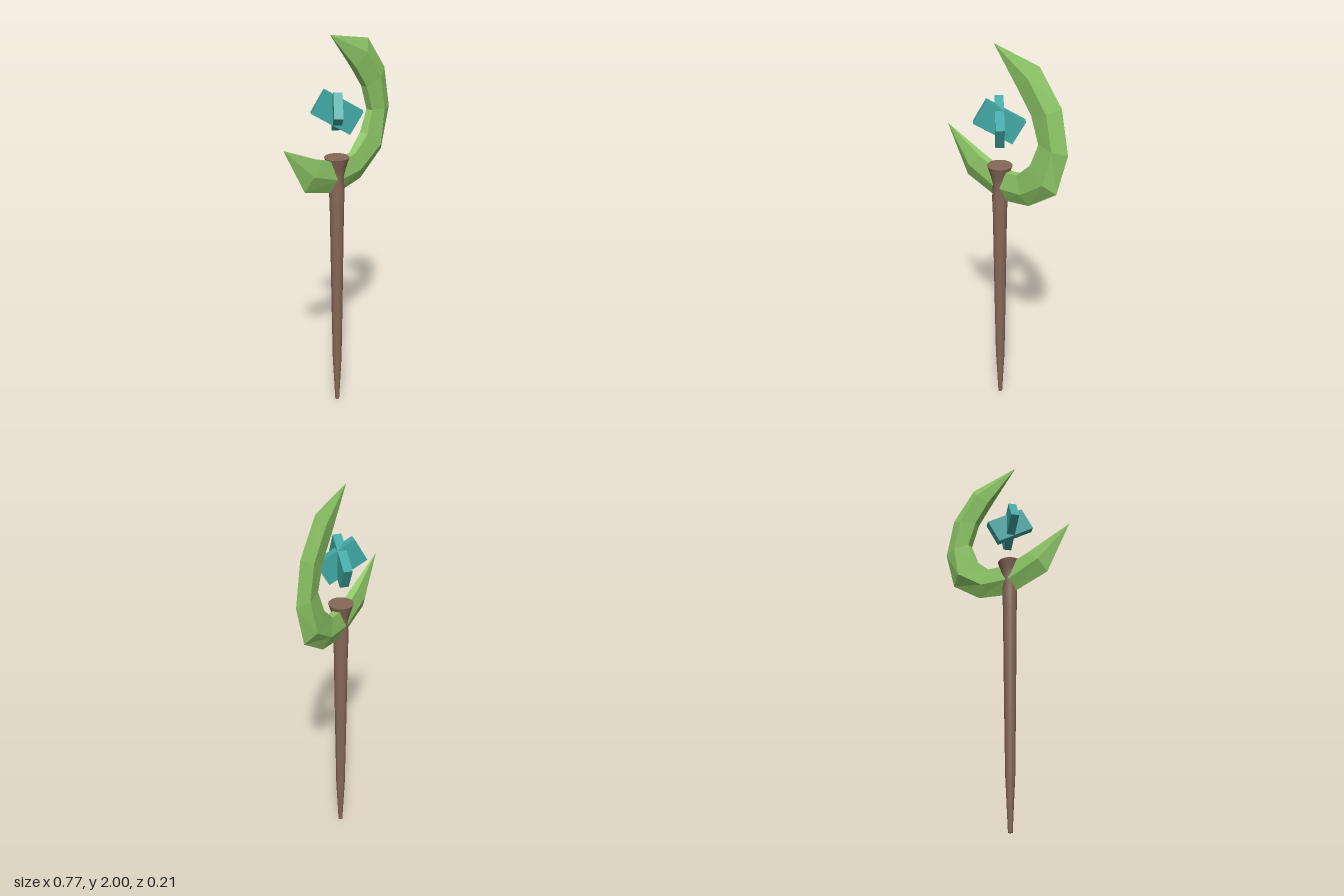
import * as THREE from 'three';

const wood = new THREE.MeshStandardMaterial({ color: 0x866857 });
wood.name = 'brown wood';
const leaf = new THREE.MeshStandardMaterial({ color: 0x90ca68, flatShading: true });
leaf.name = 'light green';
const crystal = new THREE.MeshStandardMaterial({ color: 0x40a8a4, flatShading: true });
crystal.name = 'teal crystal';

const AXIS_X = -0.026;

function add(parent, name, geometry, material) {
  const mesh = new THREE.Mesh(geometry, material);
  mesh.name = name;
  parent.add(mesh);
  return mesh;
}

// Tapered handle flaring into a cup at the top, closed by two discs
function makeStaff() {
  const staff = new THREE.Group();
  staff.name = 'staff';
  const profile = [
    [0.011, 0], [0.024, 0.27], [0.029, 0.6], [0.036, 1.15],
    [0.039, 1.23], [0.034, 1.31], [0.046, 1.36], [0.062, 1.41],
  ].map(([r, y]) => new THREE.Vector2(r, y));
  add(staff, 'handle', new THREE.LatheGeometry(profile, 20), wood);
  const top = add(staff, 'cupTop', new THREE.CircleGeometry(0.062, 20), wood);
  top.rotation.x = -Math.PI / 2;
  top.position.y = 1.41;
  const foot = add(staff, 'foot', new THREE.CircleGeometry(0.011, 20), wood);
  foot.rotation.x = Math.PI / 2;
  staff.position.set(AXIS_X, 0, -0.002);
  return staff;
}

// Crescent: five-sided sections (outer edge, side ridges, flat inner face) between two tips
function makeCrescentGeometry() {
  // outer x, y, ridge x, y, inner x, y, ridge half width
  const stations = [
    [-0.388, 1.53, -0.388, 1.53, -0.388, 1.53, 0],
    [-0.253, 1.29, -0.215, 1.362, -0.15, 1.425, 0.03],
    [-0.025, 1.22, -0.03, 1.295, -0.025, 1.385, 0.03],
    [0.16, 1.25, 0.13, 1.31, 0.095, 1.397, 0.03],
    [0.328, 1.367, 0.275, 1.41, 0.185, 1.48, 0.041],
    [0.387, 1.58, 0.315, 1.587, 0.227, 1.593, 0.03],
    [0.342, 1.79, 0.278, 1.752, 0.182, 1.72, 0.03],
    [0.21, 1.95, 0.17, 1.89, 0.1, 1.826, 0.03],
    [-0.066, 2, -0.066, 2, -0.066, 2, 0],
  ];
  const rings = stations.map(([ox, oy, rx, ry, ix, iy, w]) => [
    [ox, oy, 0], [rx, ry, w], [ix, iy, w * 0.6], [ix, iy, -w * 0.6], [rx, ry, -w],
  ]);
  const last = rings.length - 2;
  const positions = [];
  for (let i = 0; i <= last; i++) {
    for (let j = 0; j < 5; j++) {
      const k = (j + 1) % 5;
      const a = rings[i][j], b = rings[i + 1][j], c = rings[i + 1][k], d = rings[i][k];
      if (i < last) positions.push(...a, ...b, ...c);
      if (i > 0) positions.push(...a, ...c, ...d);
      if (i === last) positions.push();
    }
  }
  const geometry = new THREE.BufferGeometry();
  geometry.setAttribute('position', new THREE.Float32BufferAttribute(positions, 3));
  geometry.computeVertexNormals();
  return geometry;
}

// Two tilted slabs crossing at right angles, floating inside the crescent
function makeCrystal() {
  const group = new THREE.Group();
  group.name = 'floatingCrystal';
  for (const side of [-1, 1]) {
    const geometry = new THREE.BoxGeometry(0.214, 0.127, 0.043);
    geometry.rotateZ(-Math.PI / 6);
    geometry.rotateY(side * Math.PI / 4);
    add(group, side < 0 ? 'crystalSlabA' : 'crystalSlabB', geometry, crystal);
  }
  group.position.set(AXIS_X, 1.635, 0);
  return group;
}

export function createModel() {
  const model = new THREE.Group();
  model.name = 'crescentStaff';
  model.add(makeStaff(), makeCrystal());
  add(model, 'crescent', makeCrescentGeometry(), leaf).position.z = -0.006;
  return model;
}
